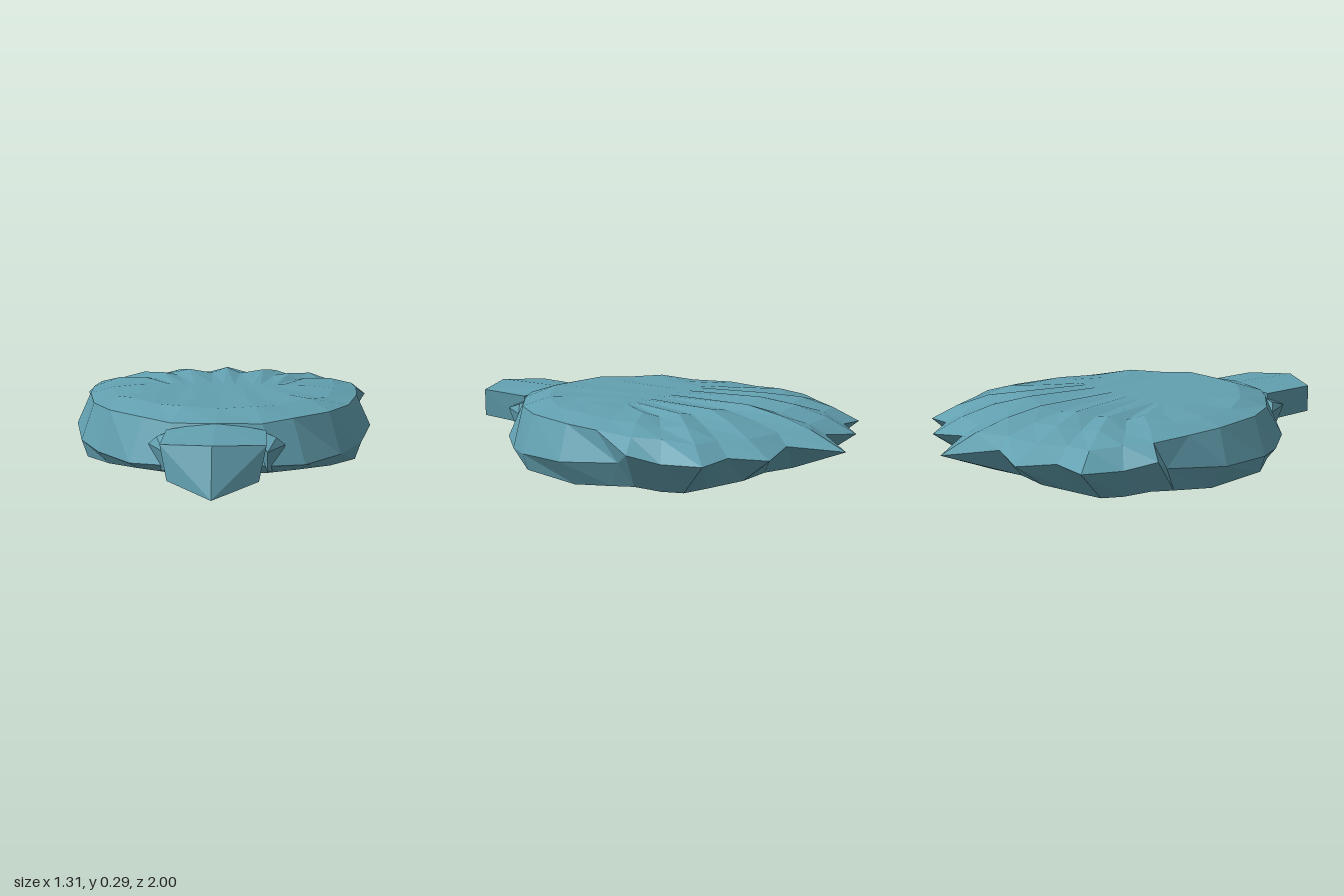
import * as THREE from 'three';
import { ConvexGeometry } from 'three/addons/geometries/ConvexGeometry.js';

const V = (x, y, z) => new THREE.Vector3(x, y, z);

// Half loops [x, y, z] running from the back tip round the left side to the front
const RIM = [
  [0, .16, -1], [.14, .18, -.82], [.31, .16, -.86], [.41, .17, -.74], [.55, .16, -.73],
  [.585, .15, -.56], [.655, .18, -.45], [.61, .13, -.37], [.655, .1, -.1], [.595, .08, .17],
  [.5, .065, .33], [.35, .065, .52], [.22, .08, .61], [0, .09, .64],
];
const SHOULDER = [
  [0, .225, -.84], [.11, .22, -.76], [.28, .22, -.74], [.37, .22, -.66], [.48, .22, -.64],
  [.53, .23, -.52], [.59, .235, -.42], [.6, .24, -.25], [.59, .24, -.08], [.54, .24, .16],
  [.45, .24, .32], [.3, .24, .46], [.18, .235, .55], [0, .24, .58],
];
const LIP = [
  [0, .06, -.76], [.14, .06, -.72], [.28, .055, -.72], [.38, .03, -.63], [.47, .02, -.58],
  [.51, .02, -.5], [.55, .03, -.4], [.57, .02, -.3], [.59, 0, -.12], [.57, .008, .17],
  [.46, .015, .32], [.32, .035, .48], [.2, .045, .58], [0, .055, .61],
];

// Completes a half loop by mirroring it across x
function closeLoop(half) {
  const mirrored = half.slice(1, -1).reverse().map(([x, y, z]) => [-x, y, z]);
  return [...half, ...mirrored].map((p) => V(...p));
}

// Shrinks a half loop toward z = -0.1 and gives it new heights
function inset(half, sx, sz, height) {
  return half.map(([x, , z], i) => [x * sx, height(i), (z + .1) * sz - .1]);
}

// Joins successive loops into one flat-faceted skin
function skin(loops) {
  const pos = [];
  const tri = (a, b, c) => {
    if (a.equals(b) || b.equals(c) || a.equals(c)) return;
    for (const p of [a, b, c]) pos.push(p.x, p.y, p.z);
  };
  for (let r = 0; r < loops.length - 1; r++) {
    const inner = loops[r], outer = loops[r + 1], n = inner.length;
    for (let i = 0; i < n; i++) {
      const j = (i + 1) % n;
      tri(inner[i], inner[j], outer[i]);
      tri(inner[j], outer[j], outer[i]);
    }
  }
  const g = new THREE.BufferGeometry();
  g.setAttribute('position', new THREE.Float32BufferAttribute(pos, 3));
  g.computeVertexNormals();
  return g;
}

export function createModel() {
  const model = new THREE.Group();
  model.name = 'shell';
  const teal = new THREE.MeshStandardMaterial({ color: 0x62a0b0, flatShading: true });
  teal.name = 'dusty teal';

  const add = (name, geometry) => {
    const mesh = new THREE.Mesh(geometry, teal);
    mesh.name = name;
    model.add(mesh);
  };

  // Lengthwise ridges and furrows on the back half, slight unevenness elsewhere
  const ripple = (i, depth) => (i < 6 ? (i % 2 ? -depth : depth * .4) : (i % 2 ? -.003 : .003));

  // Domed top, jagged rim, lower lip and steep-walled hollow underside
  add('shellBody', skin([
    inset(SHOULDER, .45, 0, () => .279),
    inset(SHOULDER, .62, .58, (i) => (i < 4 ? .283 : .276) + ripple(i, .014)),
    inset(SHOULDER, .83, .8, (i) => (i < 6 ? .26 : i < 10 ? .264 : .276) + ripple(i, .01)),
    SHOULDER,
    RIM,
    LIP,
    inset(LIP, .93, .93, () => .05),
    inset(LIP, .6, .66, () => .225),
    inset(LIP, .3, 0, () => .24),
  ].map(closeLoop)));

  // Blunt beak-shaped head
  const headPoints = [V(0, .23, .93), V(0, .045, 1), V(0, .24, .54)];
  for (const s of [-1, 1]) {
    headPoints.push(
      V(s * .197, .215, .845), V(s * .17, .085, .875),
      V(s * .195, .215, .58), V(s * .17, .08, .6),
    );
  }
  add('head', new ConvexGeometry(headPoints));

  // Small folds where the neck meets the shell
  for (const s of [-1, 1]) {
    add(s > 0 ? 'leftNeckFold' : 'rightNeckFold', new ConvexGeometry([
      V(s * .235, .185, .57), V(s * .2, .15, .68), V(s * .27, .15, .54),
      V(s * .2, .06, .63), V(s * .14, .22, .54), V(s * .23, .05, .55),
    ]));
  }

  return model;
}
